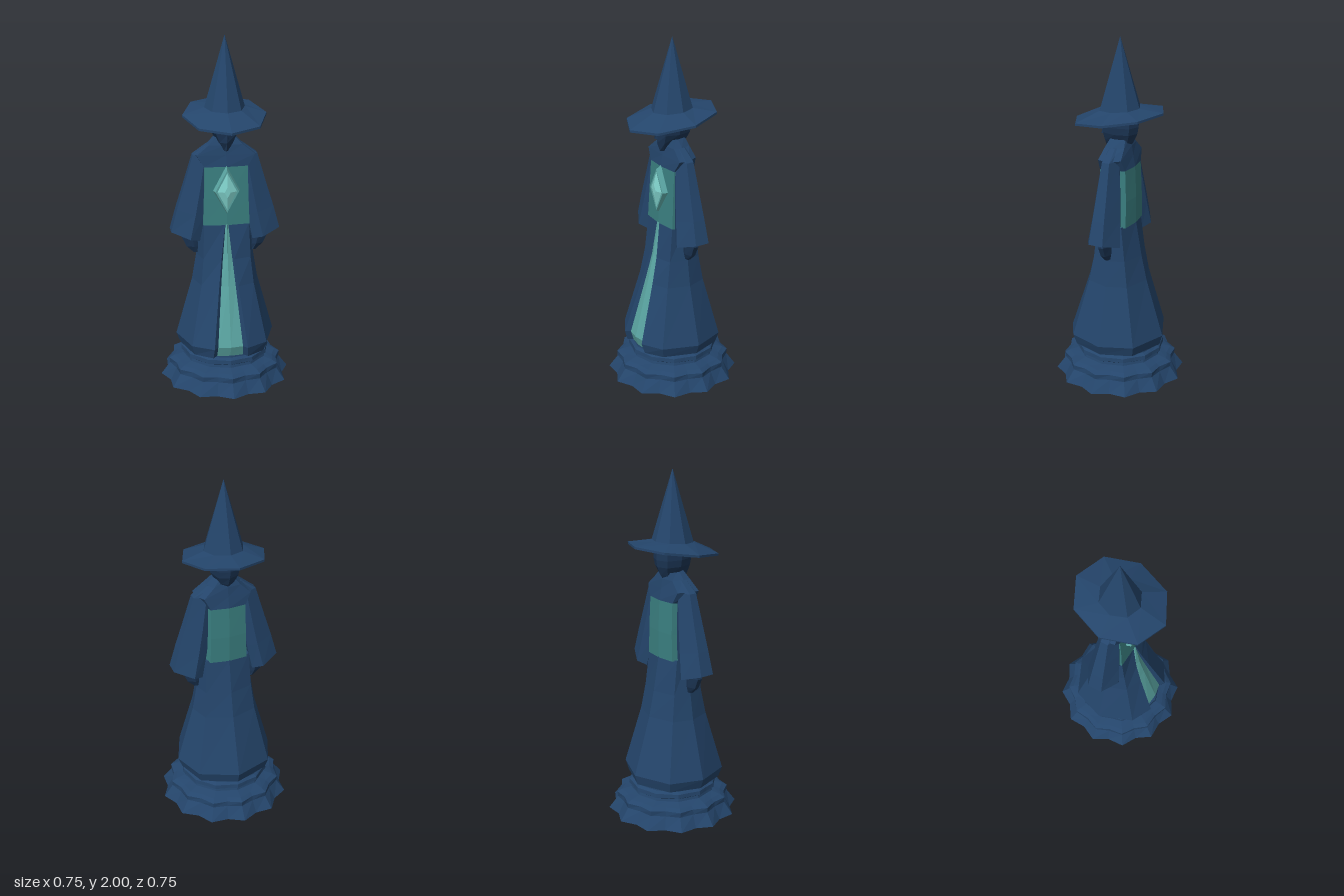
import * as THREE from 'three';

const mat = (color) => new THREE.MeshStandardMaterial({ color, flatShading: true, side: THREE.DoubleSide });
const navy = mat(0x24456b), dark = mat(0x1c3656), teal = mat(0x3a7f80), pale = mat(0x5aa5a2), gemMat = mat(0x7fd0ca);

// Skins rings of [x, y, z] points (front -> left -> back -> right, listed upwards).
function loft(name, rings, material, capBottom = true, capTop = true) {
  const pos = [], n = rings[0].length;
  const tri = (a, b, c) => pos.push(...a, ...b, ...c);
  for (let r = 0; r < rings.length - 1; r++) {
    for (let i = 0; i < n; i++) {
      const j = (i + 1) % n, A = rings[r], B = rings[r + 1];
      tri(A[i], A[j], B[j]);
      tri(A[i], B[j], B[i]);
    }
  }
  const cap = (ring, up) => {
    const c = [0, 1, 2].map((k) => ring.reduce((s, p) => s + p[k], 0) / n);
    ring.forEach((p, i) => {
      const q = ring[(i + 1) % n];
      if (up) tri(c, p, q); else tri(c, q, p);
    });
  };
  if (capBottom) cap(rings[0], false);
  if (capTop) cap(rings[rings.length - 1], true);
  const g = new THREE.BufferGeometry();
  g.setAttribute('position', new THREE.Float32BufferAttribute(pos, 3));
  g.computeVertexNormals();
  const m = new THREE.Mesh(g, material);
  m.name = name;
  return m;
}

// Completes a ring from its left half; mid-plane points are not doubled.
const mirrorRing = (half) => [
  ...half,
  ...half.filter((p) => Math.abs(p[0]) > 1e-6).reverse().map(([x, y, z]) => [-x, y, z]),
];

// Eight-sided ring: half width, front depth, back depth, corner fullness.
const octagon = (y, w, zf, zb, k = 0.75) => mirrorRing([
  [0, y, zf], [w * k, y, zf * k], [w, y, 0], [w * k, y, zb * k], [0, y, zb],
]);

function makeBase() {
  // [y, point radius, notch radius]
  const profile = [
    [0, 0.377, 0.342], [0.07, 0.325, 0.305], [0.1, 0.328, 0.303], [0.115, 0.3, 0.28],
    [0.13, 0.245, 0.236], [0.145, 0.24, 0.232], [0.155, 0.258, 0.246],
    [0.178, 0.255, 0.244], [0.19, 0.235, 0.23], [0.215, 0.23, 0.225],
  ];
  return loft('base', profile.map(([y, rp, rn]) => Array.from({ length: 24 }, (_, i) => {
    const a = (i * Math.PI) / 12, r = i % 2 ? rn : rp;
    return [r * Math.sin(a), y, r * Math.cos(a)];
  })), navy);
}

// Robe skirt with a slit down the front, backed by a pale underskirt.
function makeSkirt() {
  const g = new THREE.Group();
  g.name = 'skirt';
  // [y, slit half width, front z, corner x, corner z, side x, back z]
  const rows = [
    [0.2, 0.1, 0.25, 0.2, 0.185, 0.262, -0.255],
    [0.26, 0.095, 0.268, 0.215, 0.2, 0.285, -0.273],
    [0.6, 0.055, 0.168, 0.15, 0.125, 0.19, -0.168],
    [0.75, 0.036, 0.128, 0.135, 0.1, 0.165, -0.135],
    [0.95, 0.01, 0.092, 0.128, 0.08, 0.138, -0.1],
  ];
  const inset = (f) => f * 0.75, depth = (f) => 0.3 * f;
  g.add(loft('robe', rows.map(([y, f, zf, cx, cz, sx, zb]) => mirrorRing([
    [inset(f), y, zf - depth(f)], [f, y, zf], [cx, y, cz], [sx, y, 0], [cx, y, zb * 0.68], [0, y, zb],
  ])), navy));
  g.add(loft('underskirt', rows.map(([y, f, zf]) => {
    const x = inset(f), z = zf - depth(f);
    return mirrorRing([[0, y, z + 0.012], [x, y, z + 0.002], [x, y, z - 0.01]]);
  }), pale));
  return g;
}

// Torso: boxy chest, then sloping shoulders up to the neck.
function makeTorso() {
  const g = new THREE.Group();
  g.name = 'torso';
  const box = (y, w, zf, zb) => mirrorRing([
    [0, y, zf], [w * 0.95, y, zf * 0.86], [w, y, 0], [w * 0.78, y, zb * 0.86], [0, y, zb],
  ]);
  g.add(loft('chest', [
    box(0.945, 0.138, 0.094, -0.1), box(1.1, 0.132, 0.086, -0.1), box(1.28, 0.128, 0.074, -0.092),
  ], teal));
  g.add(loft('shoulders', [
    box(1.28, 0.13, 0.075, -0.093), box(1.345, 0.172, 0.064, -0.08),
    box(1.4, 0.1, 0.055, -0.072), box(1.45, 0.05, 0.035, -0.06),
  ], navy));
  return g;
}

// Wide sleeve with a flared cuff and a hand hanging inside it.
function makeArm(side) {
  const g = new THREE.Group();
  g.name = side > 0 ? 'leftArm' : 'rightArm';
  const orient = (ring) => (side > 0 ? ring : ring.map(([x, y, z]) => [-x, y, z]).reverse());
  // [outer x, outer y, inner x, inner y, half depth]
  const ring = ([xo, yo, xi, yi, d]) => {
    const xm = xi + (xo - xi) * 0.35, ym = yi + (yo - yi) * 0.35;
    return orient([
      [xi, yi, d * 0.7], [xm, ym, d], [xo, yo, d * 0.42],
      [xo, yo, -d * 0.42], [xm, ym, -d], [xi, yi, -d * 0.7],
    ]);
  };
  g.add(loft('sleeve', [
    [0.31, 0.9, 0.15, 0.85, 0.1], [0.275, 1.03, 0.12, 1.0, 0.085],
    [0.235, 1.16, 0.1, 1.15, 0.072], [0.182, 1.34, 0.08, 1.34, 0.052], [0.1, 1.4, 0.06, 1.4, 0.04],
  ].map(ring), navy, false));
  g.add(loft('hand', [
    [0.178, 0.76, 0.155, 0.765, 0.018], [0.22, 0.8, 0.155, 0.8, 0.03],
    [0.248, 0.86, 0.16, 0.86, 0.036], [0.23, 0.95, 0.15, 0.95, 0.035],
  ].map(ring), dark));
  return g;
}

function makeHead() {
  const g = new THREE.Group();
  g.name = 'head';
  g.add(loft('face', [
    octagon(1.37, 0.015, 0.08, -0.05), octagon(1.42, 0.05, 0.098, -0.082),
    octagon(1.47, 0.077, 0.104, -0.105), octagon(1.51, 0.084, 0.11, -0.112),
    octagon(1.6, 0.082, 0.115, -0.108),
  ], dark));
  g.add(loft('nose', [
    octagon(1.445, 0.018, 0.115, 0.07), octagon(1.5, 0.008, 0.112, 0.07),
  ], dark));
  return g;
}

// Pointed hat whose brim dips towards the front.
function makeHat() {
  const g = new THREE.Group();
  g.name = 'hat';
  const tilt = (ring, slope) => ring.map(([x, y, z]) => [x, y - slope * z, z]);
  g.add(loft('brim', [
    tilt(octagon(1.558, 0.08, 0.1, -0.1, 0.71), 0.16),
    tilt(octagon(1.553, 0.235, 0.27, -0.258, 0.71), 0.16),
    tilt(octagon(1.566, 0.235, 0.27, -0.258, 0.71), 0.16),
    tilt(octagon(1.605, 0.115, 0.122, -0.115, 0.71), 0.08),
  ], navy));
  g.add(loft('crown', [
    tilt(octagon(1.6, 0.115, 0.122, -0.118, 0.71), 0.08), octagon(2, 0.001, 0.001, -0.001),
  ], navy));
  return g;
}

// Diamond-shaped gem in a raised frame on the chest.
function makeGem() {
  const g = new THREE.Group();
  g.name = 'chestGem';
  const diamond = (name, top, w, h, depth, z, material) => {
    const geo = new THREE.CylinderGeometry(top, 1, 1, 4).rotateX(Math.PI / 2).scale(w, h, depth);
    const m = new THREE.Mesh(geo, material);
    m.name = name;
    m.position.set(0, 1.145, z);
    g.add(m);
  };
  diamond('gemFrame', 0.85, 0.078, 0.145, 0.035, 0.087, pale);
  diamond('gem', 0.3, 0.056, 0.108, 0.016, 0.112, gemMat);
  return g;
}

export function createModel() {
  const model = new THREE.Group();
  model.name = 'robedFigure';
  model.add(makeBase(), makeSkirt(), makeTorso(), makeArm(1), makeArm(-1), makeHead(), makeHat(), makeGem());
  return model;
}
